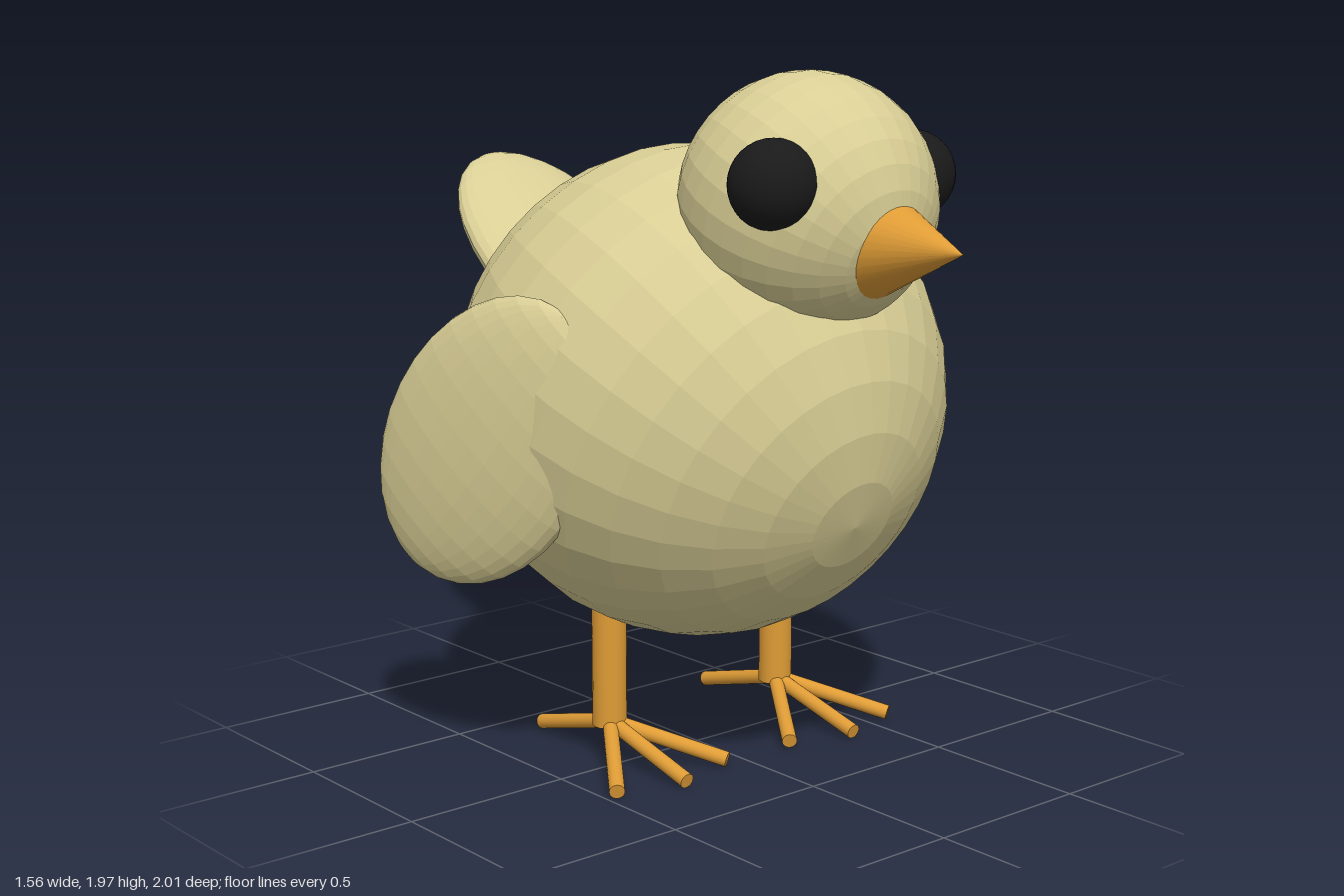
import * as THREE from 'three';

const down = new THREE.MeshStandardMaterial({ color: 0xd9ce95, flatShading: true });
const orange = new THREE.MeshStandardMaterial({ color: 0xdf9c36 });
const black = new THREE.MeshStandardMaterial({ color: 0x1a1a1a });

const MID = 0.025; // sideways centre of the body
const UP = new THREE.Vector3(0, 1, 0);

function add(parent, name, geometry, material, position) {
  const mesh = new THREE.Mesh(geometry, material);
  mesh.name = name;
  mesh.position.set(...position);
  parent.add(mesh);
  return mesh;
}

// Sphere whose poles point forward-down and back-up
function ball(parent, name, radius, position) {
  const mesh = add(parent, name, new THREE.SphereGeometry(radius, 32, 16), down, position);
  mesh.rotation.x = Math.PI / 2 + 0.42;
}

// Flattened ellipsoid given its long direction and the direction it faces
function paddle(parent, name, position, long, normal, [width, length, thickness]) {
  const geometry = new THREE.SphereGeometry(1, 32, 16).scale(width, length, thickness);
  const y = new THREE.Vector3(...long).normalize();
  const x = y.clone().cross(new THREE.Vector3(...normal)).normalize();
  const z = x.clone().cross(y);
  const mesh = add(parent, name, geometry, down, position);
  mesh.quaternion.setFromRotationMatrix(new THREE.Matrix4().makeBasis(x, y, z));
}

// Straight round rod between two points
function rod(parent, name, from, to, radius) {
  const a = new THREE.Vector3(...from);
  const b = new THREE.Vector3(...to);
  const geometry = new THREE.CylinderGeometry(radius, radius, a.distanceTo(b), 20);
  const mesh = add(parent, name, geometry, orange, a.clone().lerp(b, 0.5).toArray());
  mesh.quaternion.setFromUnitVectors(UP, b.sub(a).normalize());
}

// Leg with three front toes and one back toe
function leg(parent, name, x) {
  const group = new THREE.Group();
  group.name = name;
  group.position.set(x, 0, -0.06);
  rod(group, 'shank', [0, 0.1, 0], [0, 0.65, 0], 0.05);
  const tips = [[-0.2, 0.285], [0, 0.345], [0.2, 0.285], [0, -0.325]];
  for (const [tx, tz] of tips) rod(group, 'toe', [0, 0.11, 0], [tx, 0.023, tz], 0.022);
  parent.add(group);
}

export function createModel() {
  const chick = new THREE.Group();
  chick.name = 'chick';

  ball(chick, 'body', 0.705, [MID, 1.05, -0.015]);
  ball(chick, 'head', 0.352, [MID - 0.003, 1.623, 0.433]);

  // Eyes
  add(chick, 'rightEye', new THREE.SphereGeometry(0.12, 32, 16), black, [-0.243, 1.698, 0.587]);
  add(chick, 'leftEye', new THREE.SphereGeometry(0.12, 32, 16), black, [0.262, 1.695, 0.58]);

  // Beak, its base sunk into the head
  const beak = add(chick, 'beak', new THREE.ConeGeometry(0.172, 0.36, 32), orange, [MID, 1.537, 0.82]);
  beak.rotation.x = Math.PI / 2;

  // Wings hang slightly unevenly, their rear edges flaring outward
  paddle(chick, 'leftWing', [0.667, 0.92, -0.1], [-0.068, 0.96, 0.27], [1, 0, 0.25], [0.33, 0.46, 0.085]);
  paddle(chick, 'rightWing', [-0.65, 0.97, -0.11], [0.17, 0.77, 0.63], [-1, 0, 0.27], [0.33, 0.465, 0.085]);

  // Tail
  paddle(chick, 'tail', [0.015, 1.365, -0.625], [0, 0.61, -0.79], [0, 0.79, 0.61], [0.3, 0.475, 0.095]);

  leg(chick, 'rightLeg', -0.278);
  leg(chick, 'leftLeg', 0.363);

  return chick;
}
